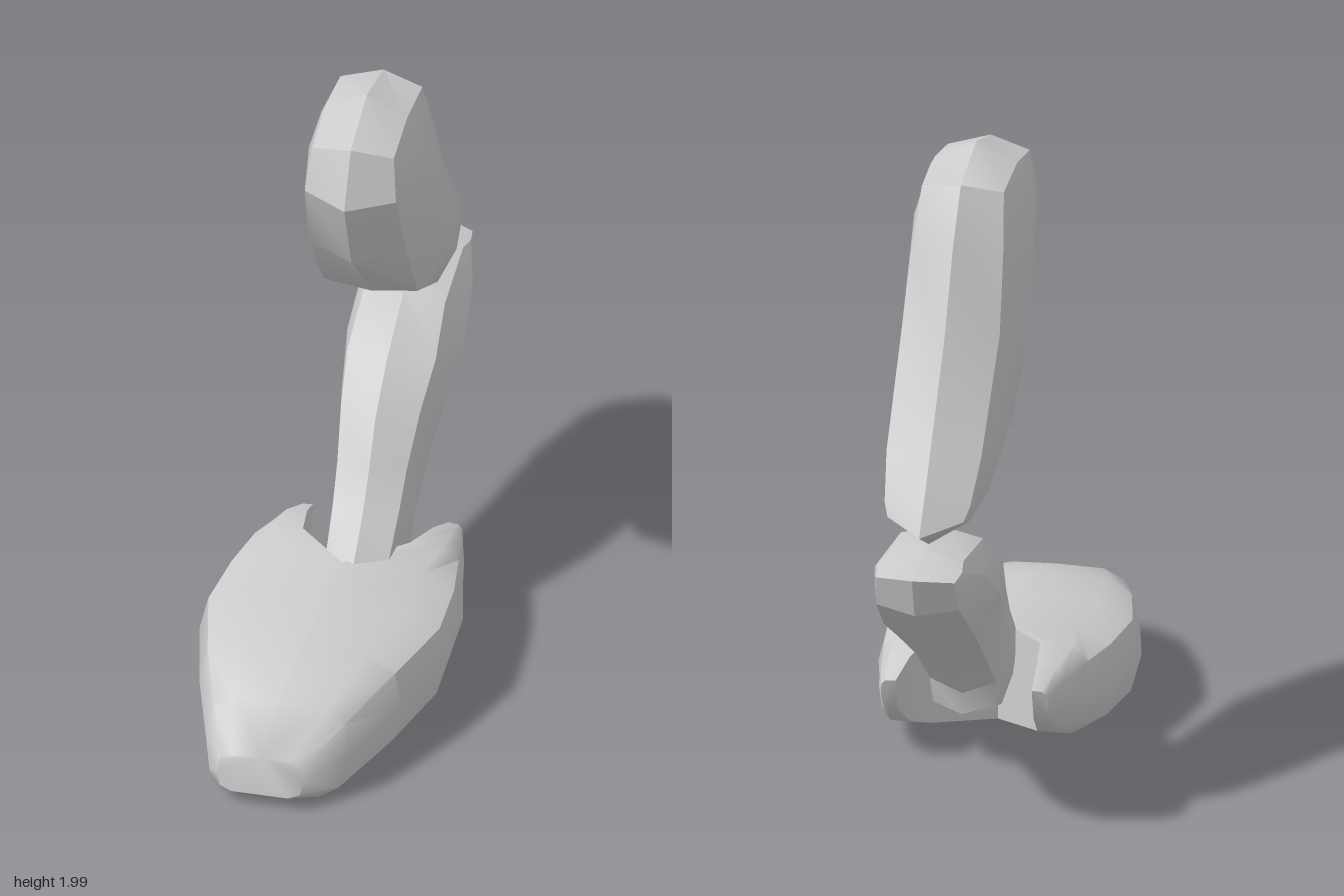
import * as THREE from 'three';
import { toCreasedNormals } from 'three/addons/utils/BufferGeometryUtils.js';

const material = new THREE.MeshStandardMaterial({ color: 0xcccccc });

// Skin a list of closed rings, fan both ends and turn the faces outward.
// The last strip of the first `seam` spans is left open.
function loft(rings, crease, seam = 0) {
  const n = rings[0].length, tris = [];
  const same = (p, q) => p.distanceTo(q) < 1e-5;
  const tri = (a, b, c) => {
    if (!same(a, b) && !same(b, c) && !same(a, c)) tris.push([a, b, c]);
  };
  for (let i = 0; i < rings.length - 1; i++) {
    for (let j = 0; j < n; j++) {
      if (j === n - 1 && i < seam) continue;
      const k = (j + 1) % n, a = rings[i], b = rings[i + 1];
      tri(a[j], a[k], b[k]);
      tri(a[j], b[k], b[j]);
    }
  }
  const last = rings[rings.length - 1];
  for (let j = 1; j < n - 1; j++) {
    tri(rings[0][0], rings[0][j + 1], rings[0][j]);
    tri(last[0], last[j], last[j + 1]);
  }
  const mid = rings.flat().reduce((s, p) => s.add(p), new THREE.Vector3()).divideScalar(n * rings.length);
  const rel = (p) => p.clone().sub(mid);
  const volume = tris.reduce((s, [a, b, c]) => s + rel(a).dot(rel(b).cross(rel(c))), 0);
  const pos = tris.flatMap(([a, b, c]) => (volume < 0 ? [a, c, b] : [a, b, c]));
  const geo = new THREE.BufferGeometry().setFromPoints(pos);
  return toCreasedNormals(geo, crease);
}

// Limb section: front ridge, front edge, bulging side, back edge, back ridge.
// Each station: front z,y, front edge z,y, back edge z,y, back z,y, edge half width, side half width
function limb(name, stations) {
  const cx = 0.04;
  const rings = stations.map(([fz, fy, ez, ey, bz, by, kz, ky, w, m]) => {
    const side = (s) => [
      new THREE.Vector3(cx + s * w, ey, ez),
      new THREE.Vector3(cx + s * m, (ey + by) / 2, (ez + bz) / 2),
      new THREE.Vector3(cx + s * w, by, bz),
    ];
    return [
      new THREE.Vector3(cx, fy, fz), ...side(1),
      new THREE.Vector3(cx, ky, kz), ...side(-1).reverse(),
    ];
  });
  const mesh = new THREE.Mesh(loft(rings, 0.5), material);
  mesh.name = name;
  return mesh;
}

// Half of the foot; the halves part at the back into two prongs around the ankle.
function footHalf(s, name) {
  // top z, bottom z, centre x, half width, top y, bottom y, inner x
  const rows = [
    [0.97, 1.0, -0.06, 0.14, 0.17, 0.05, 0],
    [0.82, 0.92, -0.035, 0.225, 0.285, 0.015, 0],
    [0.59, 0.64, -0.02, 0.32, 0.34, 0.008, 0],
    [0.35, 0.36, -0.005, 0.395, 0.355, 0.018, 0],
    [0.14, 0.12, 0.005, 0.38, 0.35, 0.03, 0],
    [-0.02, -0.05, 0.012, 0.335, 0.345, 0.065, 0.17],
    [-0.15, -0.14, 0.025, 0.3, 0.32, 0.1, 0.2],
    [-0.25, -0.22, 0.035, 0.265, 0.275, 0.17, 0.215],
  ];
  // fraction of width, fraction of height, from inner top around to inner bottom
  const section = [[0, 1], [0.65, 0.98], [0.93, 0.84], [1, 0.5], [0.91, 0.13], [0.65, 0], [0, 0]];
  const rings = rows.map(([zt, zb, cx, hw, yt, yb, inner]) => section.map(([u, v]) =>
    new THREE.Vector3(cx + s * (inner + (hw - inner) * u), yb + (yt - yb) * v, zb + (zt - zb) * v)));
  const mesh = new THREE.Mesh(loft(rings, 0.8, 4), material);
  mesh.name = name;
  return mesh;
}

export function createModel() {
  const model = new THREE.Group();
  model.name = 'leg';

  // Upper leg, from the rounded hip down to the knee
  model.add(limb('thigh', [
    [-0.04, 2.0, -0.04, 1.94, -0.04, 1.94, -0.04, 2.0, 0.13, 0.13],
    [0.18, 1.94, 0.15, 1.91, -0.24, 1.915, -0.27, 1.94, 0.13, 0.145],
    [0.27, 1.77, 0.185, 1.77, -0.32, 1.74, -0.39, 1.77, 0.145, 0.19],
    [0.17, 1.51, 0.08, 1.51, -0.42, 1.51, -0.52, 1.51, 0.155, 0.195],
    [-0.1, 1.22, -0.09, 1.25, -0.67, 1.2, -0.75, 1.19, 0.15, 0.185],
    [-0.43, 1.01, -0.43, 1.05, -0.77, 1.07, -0.84, 1.07, 0.135, 0.155],
    [-0.75, 0.93, -0.71, 1.0, -0.8, 1.03, -0.89, 1.0, 0.12, 0.125],
  ]));

  // Lower leg, from the knee forward and down into the foot
  model.add(limb('shin', [
    [-0.82, 0.94, -0.82, 0.91, -0.95, 0.885, -1.0, 0.9, 0.125, 0.135],
    [-0.55, 0.915, -0.55, 0.885, -0.92, 0.785, -0.96, 0.77, 0.13, 0.175],
    [-0.31, 0.81, -0.38, 0.79, -0.76, 0.66, -0.79, 0.63, 0.14, 0.185],
    [-0.16, 0.7, -0.23, 0.69, -0.59, 0.55, -0.6, 0.51, 0.125, 0.165],
    [-0.07, 0.56, -0.11, 0.55, -0.41, 0.43, -0.42, 0.4, 0.11, 0.14],
    [0.02, 0.45, -0.03, 0.45, -0.24, 0.29, -0.25, 0.25, 0.105, 0.13],
    [0.14, 0.35, 0.08, 0.35, -0.21, 0.2, -0.25, 0.18, 0.1, 0.12],
    [0.2, 0.27, 0.15, 0.27, -0.08, 0.16, -0.1, 0.13, 0.09, 0.1],
  ]));

  // Foot with an open notch at the back
  const foot = new THREE.Group();
  foot.name = 'foot';
  foot.add(footHalf(1, 'footLeft'), footHalf(-1, 'footRight'));
  model.add(foot);
  return model;
}
